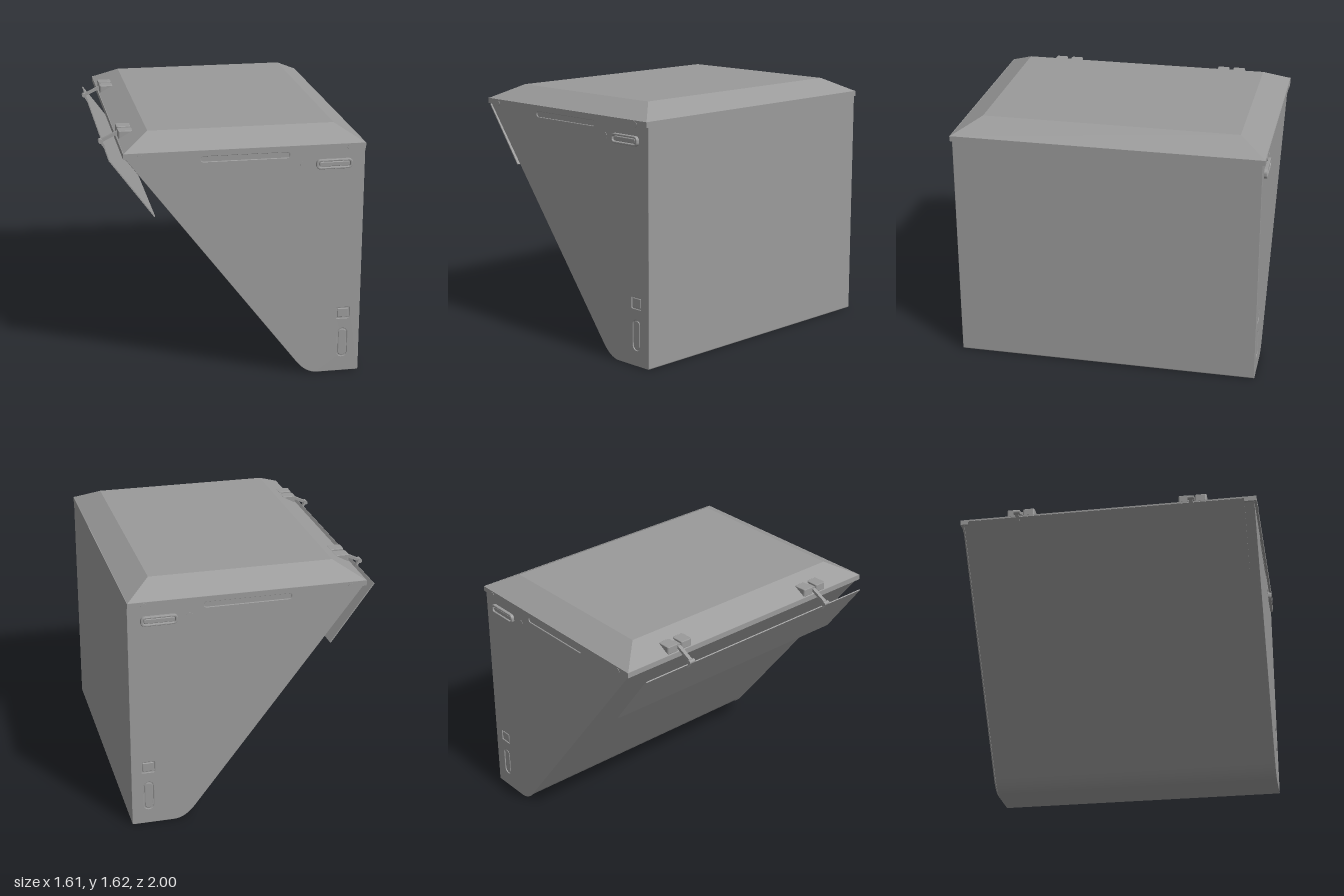
import * as THREE from 'three';
import { RoundedBoxGeometry } from 'three/addons/geometries/RoundedBoxGeometry.js';
import { ConvexGeometry } from 'three/addons/geometries/ConvexGeometry.js';

const darkGrey = new THREE.MeshStandardMaterial({ color: 0x9a9a9a });

function add(parent, name, geometry, x = 0, y = 0, z = 0) {
  const mesh = new THREE.Mesh(geometry, darkGrey);
  mesh.name = name;
  mesh.position.set(x, y, z);
  parent.add(mesh);
  return mesh;
}

// Rounded rectangle outline, centred on (cx, cy)
function roundRect(cx, cy, w, h, r, Type = THREE.Shape) {
  const s = new Type(), x = w / 2 - r, y = h / 2 - r;
  s.absarc(cx + x, cy + y, r, 0, Math.PI / 2);
  s.absarc(cx - x, cy + y, r, Math.PI / 2, Math.PI);
  s.absarc(cx - x, cy - y, r, Math.PI, Math.PI * 1.5);
  s.absarc(cx + x, cy - y, r, Math.PI * 1.5, Math.PI * 2);
  s.closePath();
  return s;
}

// Side profile of the bin; inset pulls the sloping side inwards
function profile(inset = 0) {
  const s = new THREE.Shape();
  s.moveTo(0.8, 0.01);
  s.lineTo(0.8, 1.5);
  s.lineTo(-0.69 + inset, 1.5);
  s.lineTo(0.39 + inset, 0.085);
  s.quadraticCurveTo(0.455 + inset, 0, 0.53 + inset, 0);
  s.lineTo(0.79, 0);
  s.quadraticCurveTo(0.8, 0, 0.8, 0.01);
  return s;
}

// Extrusion centred on z = 0
function slab(shape, depth, bevel = 0) {
  const g = new THREE.ExtrudeGeometry(shape, {
    depth: depth - 2 * bevel, curveSegments: 16, bevelEnabled: bevel > 0,
    bevelSize: bevel, bevelThickness: bevel, bevelOffset: -bevel, bevelSegments: 2,
  });
  return g.translate(0, 0, bevel - depth / 2);
}

// Flat bar in the xy plane running from a to b
function bar(parent, name, a, b, thickness, width, z) {
  const dx = b[0] - a[0], dy = b[1] - a[1];
  const m = add(parent, name, new THREE.BoxGeometry(Math.hypot(dx, dy), thickness, width),
    (a[0] + b[0]) / 2, (a[1] + b[1]) / 2, z);
  m.rotation.z = Math.atan2(dy, dx);
}

export function createModel() {
  const model = new THREE.Group();
  model.name = 'chuteBin';

  // Body core between the two side plates
  add(model, 'bodyCore', slab(profile(0.006), 1.946));

  // Side plates with shallow pressed slots, and their fittings
  for (const s of [1, -1]) {
    const side = new THREE.Group();
    side.name = s > 0 ? 'frontSide' : 'backSide';
    model.add(side);

    const plate = profile();
    plate.holes.push(
      roundRect(0.05, 1.472, 0.55, 0.034, 0.016, THREE.Path),
      roundRect(0.69, 0.402, 0.085, 0.075, 0.008, THREE.Path),
      roundRect(0.69, 0.198, 0.064, 0.195, 0.031, THREE.Path));
    add(side, 'sidePlate', slab(plate, 0.01, 0.003), 0, 0, s * 0.975);
    add(side, 'squarePanel', new RoundedBoxGeometry(0.07, 0.06, 0.01, 2, 0.004), 0.69, 0.402, s * 0.973);
    add(side, 'ovalPanel', slab(roundRect(0, 0, 0.05, 0.18, 0.024), 0.01, 0.003), 0.69, 0.198, s * 0.973);

    // Handle: raised rim with a grip inside
    const rim = roundRect(0.605, 1.405, 0.23, 0.062, 0.026);
    rim.holes.push(roundRect(0.605, 1.405, 0.2, 0.036, 0.014, THREE.Path));
    add(side, 'handleRim', slab(rim, 0.024, 0.004), 0, 0, s * 0.988);
    add(side, 'handleGrip', slab(roundRect(0.605, 1.405, 0.19, 0.03, 0.013), 0.02, 0.004), 0, 0, s * 0.985);

    const stud = new THREE.CylinderGeometry(0.025, 0.025, 0.01, 24).rotateX(Math.PI / 2);
    add(side, 'lockStud', stud, 0.415, 1.405, s * 0.977);
    for (const x of [-0.6, 0.7]) {
      const rivet = new THREE.CylinderGeometry(0.017, 0.017, 0.012, 20).rotateX(Math.PI / 2);
      add(side, 'lidRivet', rivet, x, 1.508, s * 0.992);
    }
  }

  // Lid: straight rim under a hipped top
  add(model, 'lidRim', new THREE.BoxGeometry(1.5, 0.034, 1.99), 0.05, 1.515, 0);
  const corners = [];
  for (const s of [1, -1]) {
    for (const [x, y, z] of [[-0.7, 1.53, 0.995], [0.8, 1.53, 0.995], [-0.53, 1.622, 0.82], [0.635, 1.622, 0.82]]) {
      corners.push(new THREE.Vector3(x, y, z * s));
    }
  }
  add(model, 'lidTop', new ConvexGeometry(corners));

  // Hinges carrying the flap
  for (const z of [-0.583, 0.575]) {
    const hinge = new THREE.Group();
    hinge.name = 'hinge';
    model.add(hinge);
    for (const s of [1, -1]) {
      const block = slab(roundRect(0, 0, 0.09, 0.08, 0.012), 0.05, 0.004).rotateX(-Math.PI / 2);
      add(hinge, 'hingeBlock', block, -0.647, 1.559, z + s * 0.054);
    }
    bar(hinge, 'hingeArm', [-0.795, 1.5], [-0.68, 1.556], 0.018, 0.024, z);
    bar(hinge, 'hingeBracket', [-0.68, 1.562], [-0.61, 1.562], 0.018, 0.03, z);
    bar(hinge, 'flapLink', [-0.795, 1.5], [-0.765, 1.452], 0.014, 0.024, z);
    const pin = new THREE.CylinderGeometry(0.014, 0.014, 0.042, 20).rotateX(Math.PI / 2);
    add(hinge, 'hingePin', pin, -0.795, 1.5, z);
  }

  // Thin flap hanging in front of the sloping side
  bar(model, 'flap', [-0.777, 1.475], [-0.503, 1.1], 0.007, 1.84, 0);

  return model;
}
